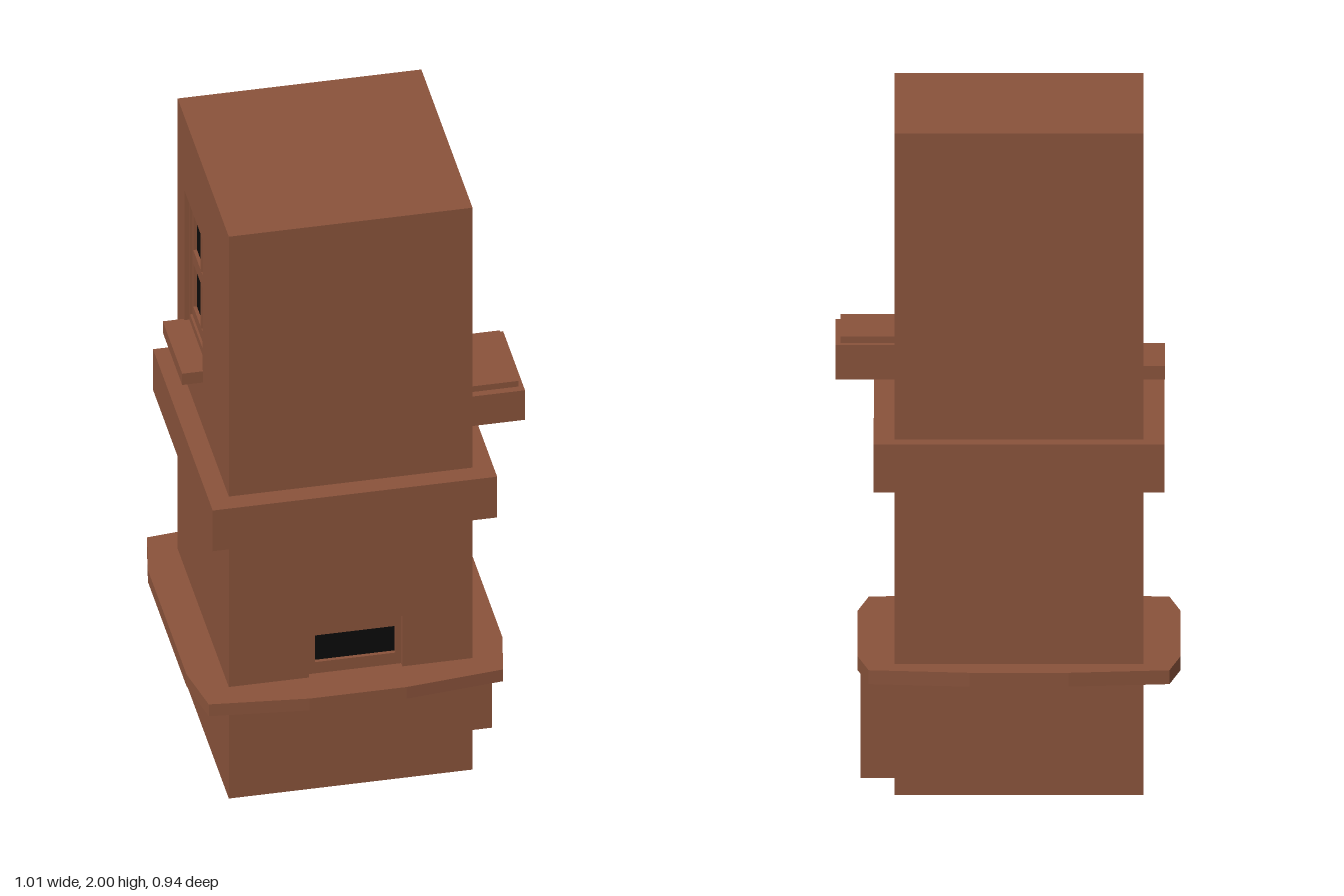
import * as THREE from 'three';

const CX = -0.035; // tower centre in x
const HALF = 0.365; // half the tower width
const T = 0.04; // wall thickness

export function createModel() {
  const brick = new THREE.MeshStandardMaterial({ color: 0x8a533b });
  brick.name = 'brick brown';
  const glass = new THREE.MeshStandardMaterial({ color: 0x0a0a0a });
  glass.name = 'black glass';

  const model = new THREE.Group();
  model.name = 'tower';

  const add = (parent, name, geometry, material = brick) => {
    const mesh = new THREE.Mesh(geometry, material);
    mesh.name = name;
    parent.add(mesh);
    return mesh;
  };

  // Box given by its limits on each axis
  const box = (parent, name, x0, x1, y0, y1, z0, z1, material) => {
    const mesh = add(parent, name, new THREE.BoxGeometry(x1 - x0, y1 - y0, z1 - z0), material);
    mesh.position.set((x0 + x1) / 2, (y0 + y1) / 2, (z0 + z1) / 2);
    return mesh;
  };

  // Flat panel with rectangular holes; rectangles are [u0, u1, y0, y1]
  const corners = ([u0, u1, y0, y1]) => [
    new THREE.Vector2(u0, y0), new THREE.Vector2(u1, y0),
    new THREE.Vector2(u1, y1), new THREE.Vector2(u0, y1),
  ];
  const panel = (outer, holes, depth) => {
    const shape = new THREE.Shape(corners(outer));
    for (const hole of holes) shape.holes.push(new THREE.Path(corners(hole)));
    return new THREE.ExtrudeGeometry(shape, { depth, bevelEnabled: false });
  };

  // Wall whose outer face lies on local z = 0
  const wall = (name, angle, halfWidth, holes) => {
    const group = new THREE.Group();
    group.name = name;
    group.rotation.y = angle;
    group.position.set(CX + Math.sin(angle) * HALF, 0, Math.cos(angle) * HALF);
    add(group, name + 'Panel', panel([-halfWidth, halfWidth, 0, 2], holes, T)).position.z = -T;
    model.add(group);
    return group;
  };

  const sashHole = [-0.27, -0.012, 1.275, 1.738];
  const frontHole = [-0.125, 0.155, 0.395, 0.577];
  const doorHole = [-0.115, 0.11, 0.01, 0.37];

  const front = wall('frontWall', 0, HALF, [frontHole]);
  wall('backWall', Math.PI, HALF, []);
  const sides = [
    wall('leftWall', Math.PI / 2, HALF - T, [sashHole, doorHole]),
    wall('rightWall', -Math.PI / 2, HALF - T, [sashHole]),
  ];

  // Four-pane windows set into both side walls
  const panes = [];
  for (const [u0, u1] of [[-0.247, -0.146], [-0.131, -0.032]]) {
    for (const [y0, y1] of [[1.335, 1.49], [1.537, 1.68]]) panes.push([u0, u1, y0, y1]);
  }
  for (const side of sides) {
    add(side, 'windowFrame', panel([-0.26, -0.022, 1.3, 1.71], panes, 0.015)).position.z = -0.037;
    box(side, 'windowGlass', -0.255, -0.027, 1.31, 1.7, -0.04, -0.033, glass);
    add(side, 'windowCasing',
      panel(sashHole, [[-0.26, -0.022, 1.3, 1.71]], 0.025)).position.z = -0.04;
  }

  // Low front window
  add(front, 'frontWindowFrame',
    panel(frontHole, [[-0.102, 0.138, 0.435, 0.53]], 0.015)).position.z = -0.035;
  box(front, 'frontWindowGlass', -0.11, 0.145, 0.43, 0.535, -0.039, -0.032, glass);

  // Window ledges
  box(model, 'leftWindowBox', 0.33, 0.503, 1.17, 1.275, -0.022, 0.29);
  box(model, 'leftWindowBoxTop', 0.31, 0.488, 1.275, 1.295, 0, 0.267);
  box(model, 'rightWindowSill', -0.463, -0.38, 1.235, 1.275, -0.277, 0);

  // Roof and floor
  const inner = HALF - T;
  box(model, 'roof', CX - inner, CX + inner, 2 - T, 2, -inner, inner);
  box(model, 'floor', CX - inner, CX + inner, 0, 0.01, -inner, inner);

  // Porch
  box(model, 'porchStep', 0.33, 0.43, 0, 0.008, -0.16, 0.165);
  box(model, 'porchPostFront', 0.325, 0.43, 0, 0.356, 0.115, 0.165);
  box(model, 'porchPostBack', 0.325, 0.43, 0, 0.356, -0.16, -0.11);

  // Horizontal rings around the tower
  const ring = (name, points, y, height) => {
    const shape = new THREE.Shape(points.map(([x, z]) => new THREE.Vector2(x, z)));
    const r = HALF - 0.01;
    shape.holes.push(new THREE.Path(corners([-r, r, -r, r])));
    const geometry = new THREE.ExtrudeGeometry(shape, { depth: height, bevelEnabled: false });
    geometry.rotateX(-Math.PI / 2);
    add(model, name, geometry).position.set(CX, y, 0);
  };
  const b = 0.426;
  ring('beltCourse', [[-b, -b], [b, -b], [b, b], [-b, b]], 0.93, 0.145);

  // Bowed ledge: one corner's points mirrored into all four
  const corner = [[0.473, 0.275], [0.441, 0.441], [0.145, 0.472]];
  const flip = (points, sx, sz) => points.map(([x, z]) => [x * sx, z * sz]);
  const back = [...corner].reverse();
  ring('bowedLedge', [
    ...corner, ...flip(back, -1, 1), ...flip(corner, -1, -1), ...flip(back, 1, -1),
  ], 0.355, 0.042);

  return model;
}
